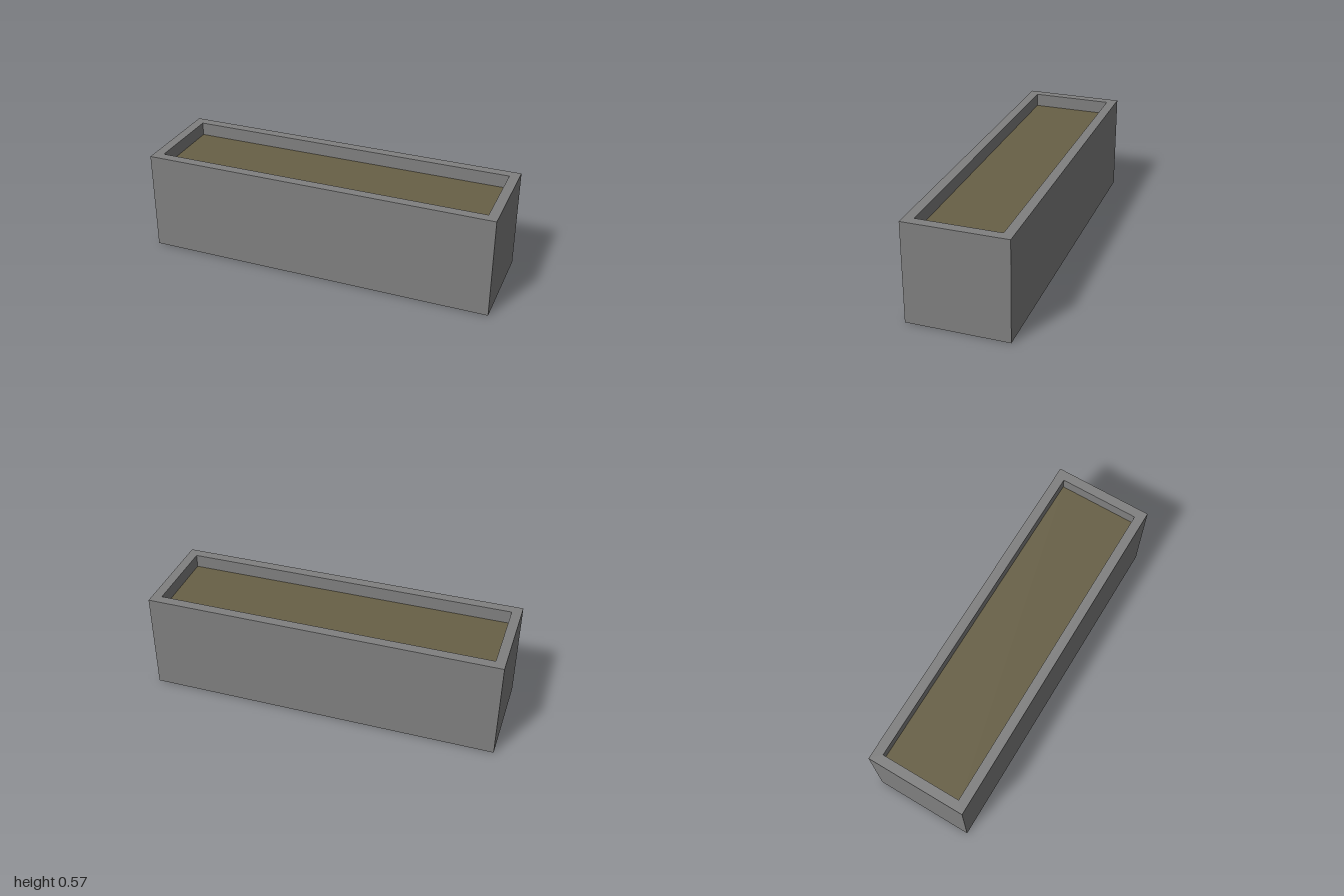
import * as THREE from 'three';

const W = 1, D = 0.2865, H = 0.573; // half width, half depth, height
const WALL = 0.055, SOIL_TOP = 0.497, FLOOR = 0.055;

// Skin a stack of rectangular rings [halfX, y, halfZ], closing both ends
function loftRings(rings) {
  const pos = [];
  const corners = ([x, y, z]) => [[-x, y, z], [x, y, z], [x, y, -z], [-x, y, -z]];
  const quad = (a, b, c, d) => pos.push(...a, ...b, ...c, ...a, ...c, ...d);
  for (let i = 0; i < rings.length - 1; i++) {
    const lo = corners(rings[i]), hi = corners(rings[i + 1]);
    for (let k = 0; k < 4; k++) {
      const n = (k + 1) % 4;
      quad(lo[k], lo[n], hi[n], hi[k]);
    }
  }
  const first = corners(rings[0]), last = corners(rings[rings.length - 1]);
  quad(first[3], first[2], first[1], first[0]);
  quad(...last);
  const geo = new THREE.BufferGeometry();
  geo.setAttribute('position', new THREE.Float32BufferAttribute(pos, 3));
  geo.computeVertexNormals();
  return geo;
}

export function createModel() {
  const stone = new THREE.MeshStandardMaterial({ color: 0x808080 });
  stone.name = 'stoneGrey';
  const earth = new THREE.MeshStandardMaterial({ color: 0x686046 });
  earth.name = 'earthBrown';

  const model = new THREE.Group();
  model.name = 'planter';

  // Open trough: outer walls, rim, inner walls and floor
  const trough = new THREE.Mesh(loftRings([
    [W, 0, D],
    [W, H, D],
    [W - WALL, H, D - WALL],
    [W - WALL, FLOOR, D - WALL],
  ]), stone);
  trough.name = 'trough';
  model.add(trough);

  // Soil filling the trough to just below the rim
  const soilHeight = SOIL_TOP - FLOOR;
  const soil = new THREE.Mesh(
    new THREE.BoxGeometry(2 * (W - WALL), soilHeight, 2 * (D - WALL)), earth);
  soil.position.y = FLOOR + soilHeight / 2;
  soil.name = 'soil';
  model.add(soil);

  return model;
}
